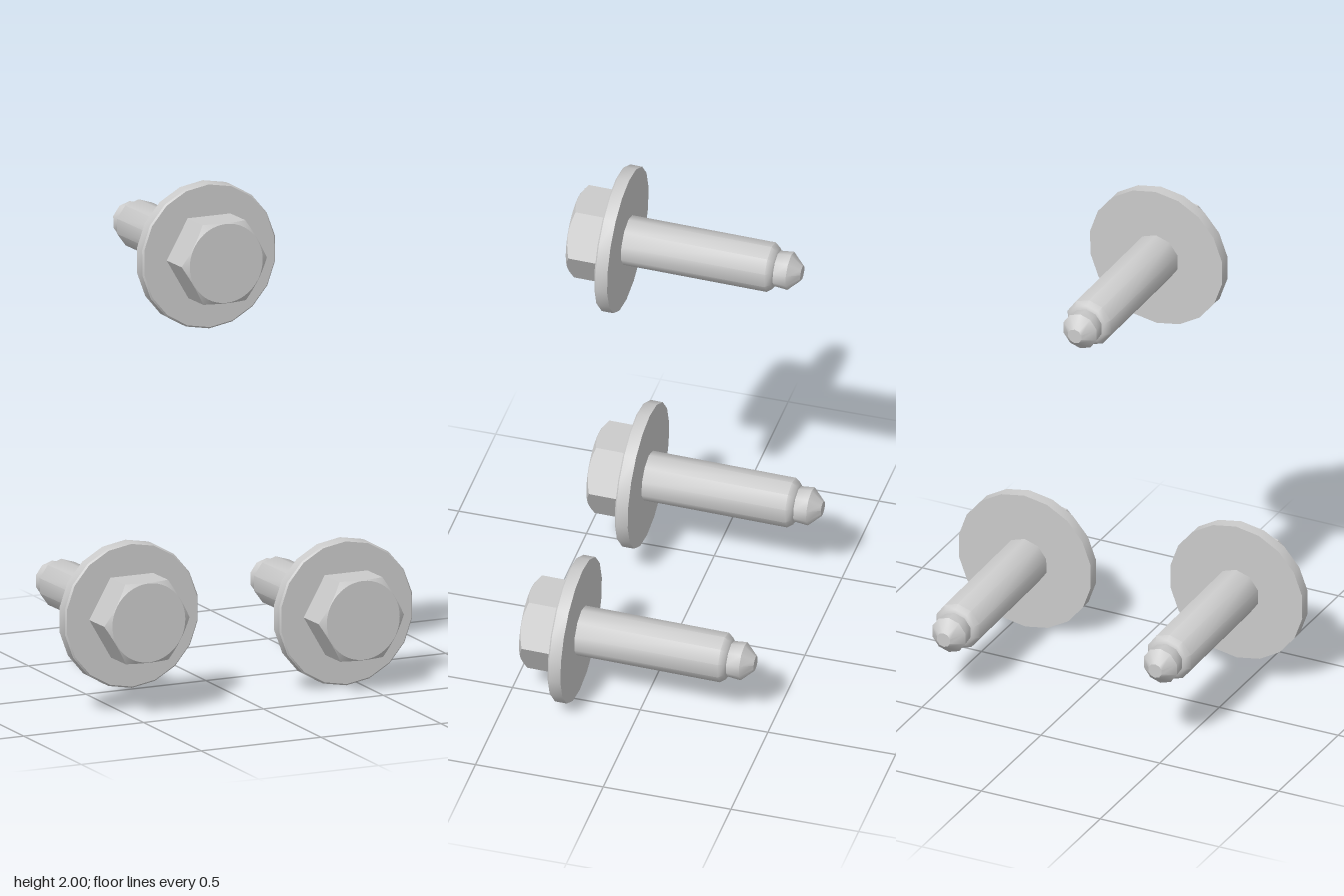
import * as THREE from 'three';
import { toCreasedNormals } from 'three/addons/utils/BufferGeometryUtils.js';

const material = new THREE.MeshStandardMaterial({ color: 0xcccccc });

// Profile of [radius, z] pairs, from the tip towards the head
function lathe(profile, sides) {
  return new THREE.LatheGeometry(profile.map(([r, z]) => new THREE.Vector2(r, z)), sides);
}

// Turns the lathe axis to +z and keeps the hard edges
function makeMesh(name, geometry, crease) {
  geometry.rotateX(Math.PI / 2);
  const mesh = new THREE.Mesh(toCreasedNormals(geometry, crease), material);
  mesh.name = name;
  return mesh;
}

// Hexagonal prism whose front corners are cut by a shallow cone
function headGeometry() {
  const apothem = 0.154, back = 0.02, front = 0.177;
  const geometry = lathe([[1, back], [1, front], [0.152, front], [0, front]], 48);
  const pos = geometry.attributes.position;
  const sector = Math.PI / 3;
  for (let i = 0; i < pos.count; i++) {
    if (i % 4 > 1) continue; // only the two rings of the sides
    const angle = Math.atan2(pos.getX(i), pos.getZ(i));
    const r = apothem / Math.cos(angle - sector * Math.round(angle / sector));
    const y = i % 4 === 0 ? back : front - 0.002 - 0.65 * (r - apothem);
    pos.setXYZ(i, r * Math.sin(angle), y, r * Math.cos(angle));
  }
  return geometry;
}

function makeBolt() {
  const bolt = new THREE.Group();
  // Shank with a shoulder, a slightly flared neck and a blunt tip
  bolt.add(makeMesh('shank', lathe([
    [0, -0.705], [0.029, -0.705], [0.073, -0.66], [0.068, -0.608],
    [0.08, -0.603], [0.095, -0.583], [0.095, 0],
  ], 10), 0.68));
  bolt.add(makeMesh('flange', lathe([
    [0, -0.022], [0.281, -0.022], [0.281, 0.024], [0.275, 0.03], [0, 0.03],
  ], 18), 0.5));
  bolt.add(makeMesh('hexHead', headGeometry(), 0.4));
  return bolt;
}

export function createModel() {
  const model = new THREE.Group();
  model.name = 'boltSet';
  // Flange centre of each bolt
  const places = {
    upperBolt: [-0.12, 1.719, 0.25],
    lowerRightBolt: [-0.45, 0.366, 0.265],
    lowerLeftBolt: [0.442, 0.283, 0.27],
  };
  for (const [name, place] of Object.entries(places)) {
    const bolt = makeBolt();
    bolt.name = name;
    bolt.position.set(...place);
    bolt.rotation.x = -0.018; // tips hang slightly
    model.add(bolt);
  }
  return model;
}
